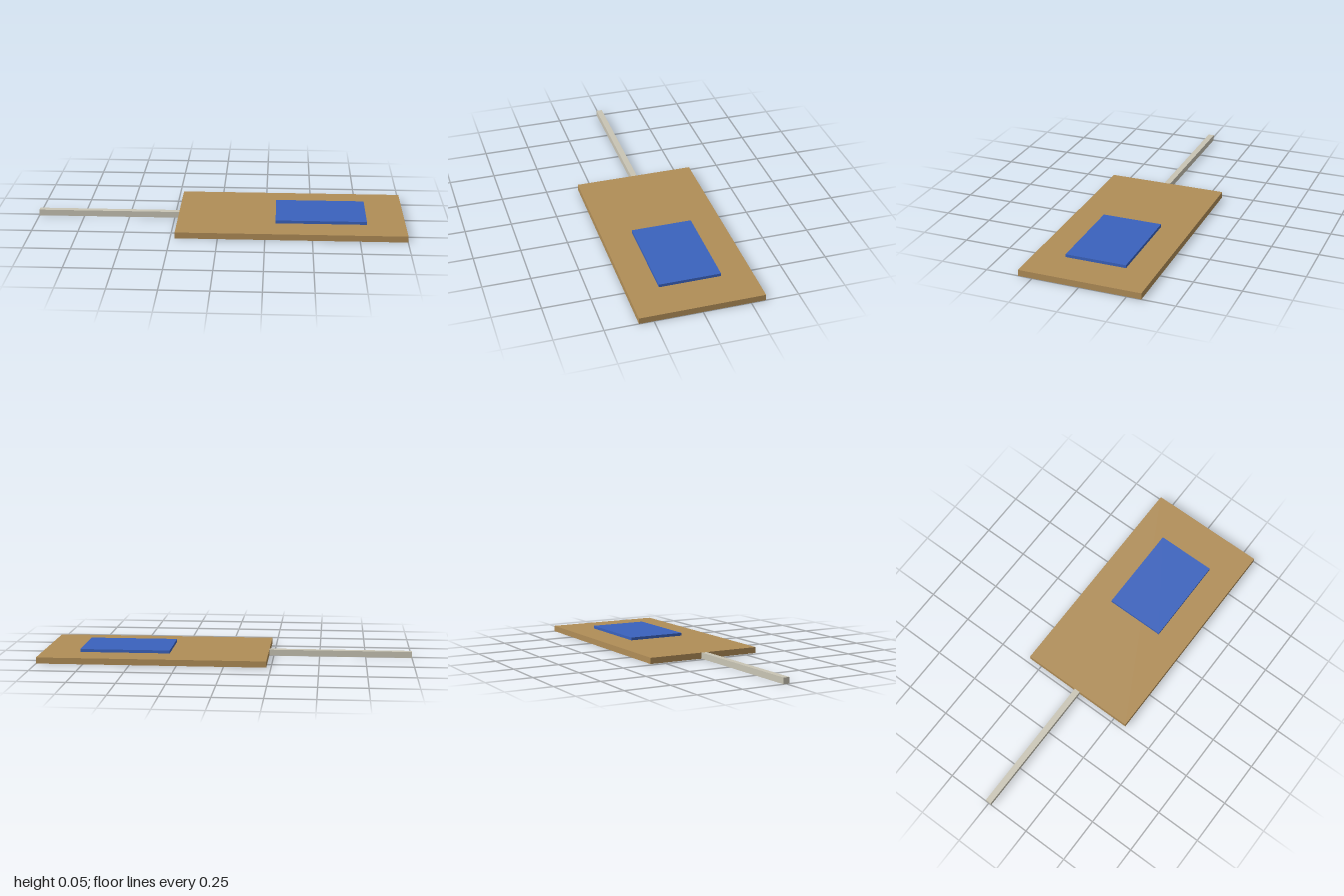
import * as THREE from 'three';

export function createModel() {
  const group = new THREE.Group();
  const material = (name, color) => {
    const m = new THREE.MeshStandardMaterial({ color });
    m.name = name;
    return m;
  };
  const wood = material('wood', 0xb08d57);
  const paleGrey = material('paleGrey', 0xc8c4b4);
  const blue = material('blue', 0x3a62bd);

  // Box given by its x and y limits, centred on z = 0
  const slab = (name, mat, x0, x1, y0, y1, depth) => {
    const mesh = new THREE.Mesh(new THREE.BoxGeometry(x1 - x0, y1 - y0, depth), mat);
    mesh.position.set((x0 + x1) / 2, (y0 + y1) / 2, 0);
    mesh.name = name;
    group.add(mesh);
  };

  slab('board', wood, -0.225, 1, 0, 0.033, 0.652);
  // Raised pad near the far end of the board
  slab('pad', blue, 0.305, 0.793, 0.033, 0.049, 0.326);
  // Thin square bar running out from the board's edge
  slab('handle', paleGrey, -1, -0.225, 0, 0.033, 0.033);

  return group;
}
